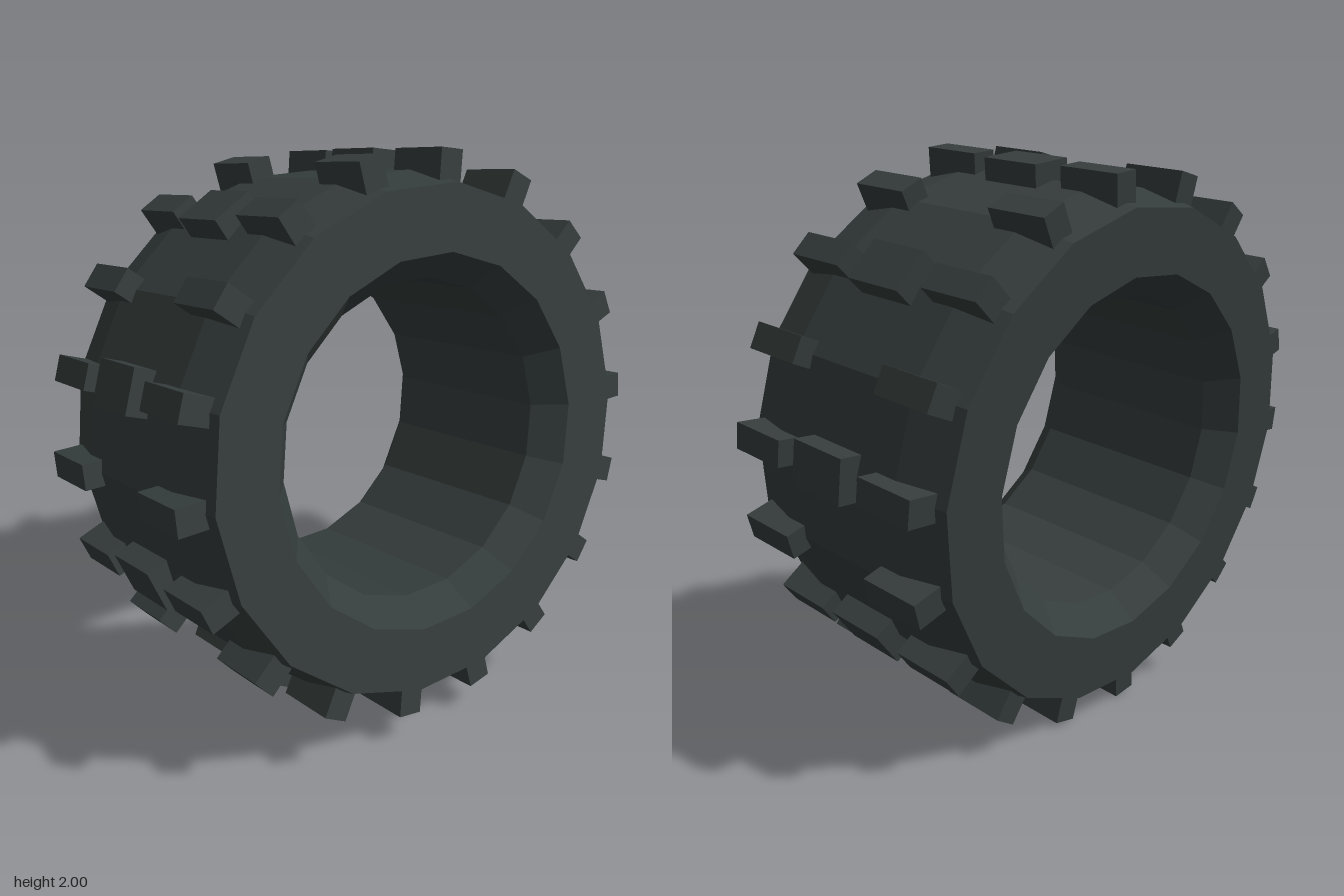
import * as THREE from 'three';

const SIDES = 18;
const STEP = (Math.PI * 2) / SIDES;

export function createModel() {
  const model = new THREE.Group();
  model.name = 'tire';
  const rubber = new THREE.MeshStandardMaterial({ color: 0x353d3c });
  rubber.name = 'dark rubber';

  // Everything is built around the z axis, then leaned back slightly.
  const wheel = new THREE.Group();
  wheel.name = 'leaningTire';
  wheel.position.y = 1;
  wheel.rotation.x = -0.125;
  model.add(wheel);

  // Carcass: closed ring profile (radius, axial position), outside first, then the bore.
  const profile = [
    [0.855, -0.465], [0.897, -0.28], [0.897, 0.28], [0.855, 0.465],
    [0.635, 0.465], [0.548, 0.36], [0.548, -0.36], [0.635, -0.465], [0.855, -0.465],
  ].map(([r, a]) => new THREE.Vector2(r, a));
  const ring = new THREE.LatheGeometry(profile, SIDES, Math.PI / 2).rotateX(Math.PI / 2).toNonIndexed();
  ring.computeVertexNormals(); // faceted
  const carcass = new THREE.Mesh(ring, rubber);
  carcass.name = 'carcass';
  wheel.add(carcass);

  // Tread blocks: a row of boxes around the ring, sunk into the carcass.
  const addRow = (name, count, width, z) => {
    const row = new THREE.Group();
    row.name = name;
    const block = new THREE.BoxGeometry(0.13, width, 0.23);
    block.translate(0.895, 0, z);
    for (let i = 0; i < count; i++) {
      const knob = new THREE.Mesh(block, rubber);
      knob.name = 'treadBlock';
      knob.rotation.z = (i * SIDES * STEP) / count;
      row.add(knob);
    }
    wheel.add(row);
  };
  addRow('frontTreadRow', SIDES, 0.09, 0.31);
  addRow('middleTreadRow', SIDES / 2, 0.15, 0);
  addRow('backTreadRow', SIDES, 0.09, -0.31);

  return model;
}
